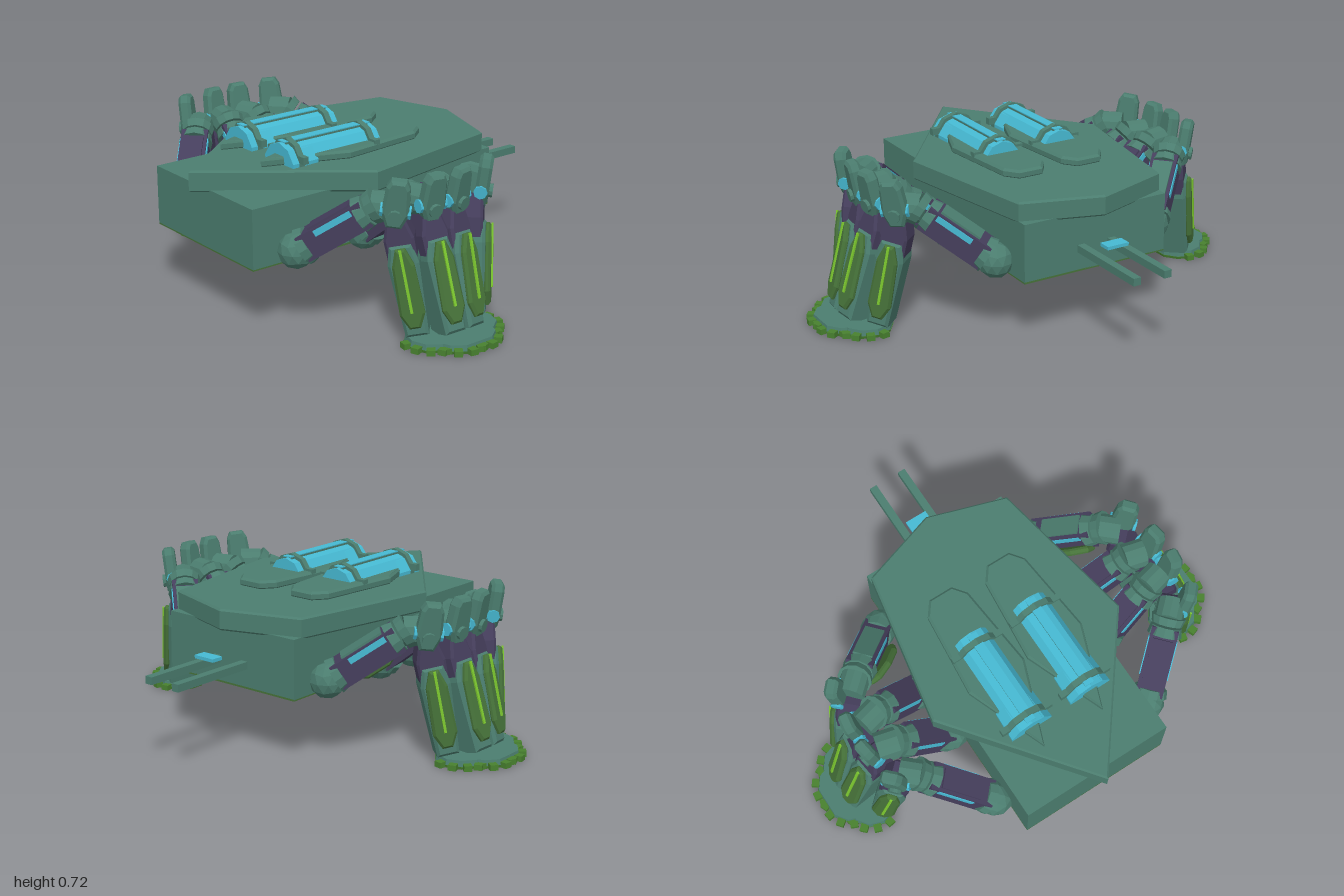
import * as THREE from 'three';

const mat = (name, color) => {
  const m = new THREE.MeshStandardMaterial({ color });
  m.name = name;
  return m;
};
const teal = mat('teal armour', 0x4b7d6f);
const purple = mat('purple frame', 0x453e5c);
const blue = mat('blue glass', 0x46b9d2);
const green = mat('green plating', 0x467239);
const lime = mat('lime strip', 0x7cc82f);
const footGreen = mat('foot green', 0x48812f);

const V = (x, y, z) => new THREE.Vector3(x, y, z);

// Adds a faceted mesh to a parent
function add(parent, name, geo, material, x = 0, y = 0, z = 0) {
  const g = geo.index ? geo.toNonIndexed() : geo;
  g.computeVertexNormals();
  const m = new THREE.Mesh(g, material);
  m.name = name;
  m.position.set(x, y, z);
  parent.add(m);
  return m;
}

const box = (w, h, d) => new THREE.BoxGeometry(w, h, d);
const cyl = (r1, r2, h, n = 12) => new THREE.CylinderGeometry(r1, r2, h, n);

// Extruded outline, centred in depth, with a small chamfer
function slab(pts, depth, bevel = 0) {
  const geo = new THREE.ExtrudeGeometry(
    new THREE.Shape(pts.map(([x, y]) => new THREE.Vector2(x, y))),
    { depth: depth - 2 * bevel, bevelEnabled: bevel > 0, bevelSize: bevel,
      bevelThickness: bevel, bevelOffset: -bevel, bevelSegments: 1 });
  return geo.translate(0, 0, -depth / 2 + bevel);
}

// Symmetric outline from its right half, listed bottom to top
const mirrored = half => [...half, ...half.filter(p => p[0] > 0).reverse().map(([x, y]) => [-x, y])];

// Horizontal slab from an outline in x and z
const floorSlab = (pts, h, bevel) => slab(pts, h, bevel).rotateX(Math.PI / 2);

// Group at a whose y axis runs to b and whose z axis leans towards out
function frame(parent, name, a, b, out) {
  const g = new THREE.Group();
  const y = b.clone().sub(a).normalize();
  const x = y.clone().cross(out).normalize();
  g.quaternion.setFromRotationMatrix(new THREE.Matrix4().makeBasis(x, y, x.clone().cross(y)));
  g.position.copy(a);
  g.name = name;
  parent.add(g);
  return g;
}

function buildHull(root) {
  add(root, 'hull', box(0.68, 0.25, 1.24), teal, 0, 0.415, 0.165);
  add(root, 'hullUnderside', box(0.68, 0.008, 1.24), green, 0, 0.288, 0.165);
  const deck = mirrored([[0, -0.52], [0.34, -0.41], [0.46, 0.26], [0, 0.85]]);
  add(root, 'deck', floorSlab(deck, 0.09, 0.008), teal, 0, 0.575, 0);

  // Twin canopies
  const rim = mirrored([[0, -0.18], [0.055, -0.18], [0.1, -0.12], [0.135, 0.25], [0, 0.6]]);
  for (const s of [-1, 1]) {
    const c = new THREE.Group();
    c.name = 'canopy';
    c.position.set(s * 0.142, 0.62, 0);
    root.add(c);
    add(c, 'canopyBase', floorSlab(rim, 0.04, 0.01), teal, 0, 0.015, 0);
    add(c, 'canopyGlass', cyl(0.085, 0.085, 0.46, 10).rotateX(Math.PI / 2), blue, 0, 0, 0.28);
    add(c, 'canopyNose', cyl(0.1, 0.094, 0.13, 10).rotateX(Math.PI / 2), blue, 0, -0.015, 0.445);
    for (const z of [0.1, 0.465])
      add(c, 'canopyRing', cyl(0.1, 0.1, 0.026, 10).rotateX(Math.PI / 2), teal, 0, 0, z);
    for (const z of [0.1, 0.465]) add(c, 'ringClamp', box(0.24, 0.03, 0.026), teal, 0, 0.03, z);
    add(c, 'canopyRidge', box(0.04, 0.012, 0.42), teal, 0, 0.081, 0.28).visible = true;
    add(c, 'canopyRidgeGlass', box(0.042, 0.004, 0.44), blue, 0, 0.089, 0.28);
  }

  // Rear rails with a small glowing sensor
  for (const s of [-1, 1])
    add(root, 'rearRail', box(0.034, 0.032, 0.41), teal, s * 0.073, 0.385, -0.65);
  add(root, 'rearSensor', box(0.1, 0.014, 0.055), blue, 0, 0.433, -0.588);
}

// Hip, knee and foot positions of the four legs on one side
const LEGS = [
  { hip: [0.385, 0.345, 0.61], knee: [0.62, 0.55, 0.4], top: [0.675, 0.52, 0.35], foot: [0.75, 0.04, 0.29], yaw: 0.75 },
  { hip: [0.385, 0.345, 0.27], knee: [0.63, 0.55, 0.23], top: [0.69, 0.52, 0.215], foot: [0.83, 0.04, 0.2], yaw: 0.15 },
  { hip: [0.385, 0.345, 0.04], knee: [0.63, 0.55, 0.08], top: [0.69, 0.52, 0.095], foot: [0.83, 0.04, 0.11], yaw: -0.15 },
  { hip: [0.385, 0.345, -0.3], knee: [0.62, 0.55, -0.09], top: [0.675, 0.52, -0.04], foot: [0.75, 0.04, 0.02], yaw: -0.75, rear: true },
];

function buildLeg(root, s, L) {
  const P = ([x, y, z]) => V(s * x, y, z);
  const hip = P(L.hip), knee = P(L.knee), top = P(L.top), foot = P(L.foot);
  const out = V(s * Math.cos(L.yaw), 0, Math.sin(L.yaw));
  const leg = new THREE.Group();
  leg.name = 'leg';
  root.add(leg);

  // Thigh
  const t = frame(leg, 'thigh', hip, knee, V(0, 1, 0));
  const len = hip.distanceTo(knee);
  add(t, 'hipBall', new THREE.IcosahedronGeometry(0.075, 1), teal);
  add(t, 'hipRing', cyl(0.07, 0.078, 0.035), teal, 0, 0.05, 0);
  add(t, 'thighFrame', box(0.115, len - 0.08, 0.11), purple, 0, len / 2, 0);
  add(t, 'thighCap', box(0.085, len * 0.5, 0.012), L.rear ? teal : purple, 0, len * 0.52, 0.058);
  for (const k of [-1, 1])
    add(t, 'thighLight', box(0.008, len * 0.45, 0.025), blue, k * 0.058, len * 0.55, 0.035);
  add(t, 'thighCollar', cyl(0.066, 0.074, 0.04), teal, 0, len - 0.055, 0);
  add(t, 'kneeRing', cyl(0.074, 0.066, 0.035), teal, 0, len - 0.008, 0);
  if (L.rear) {
    const shield = mirrored([[0, 0.06], [0.03, 0.06], [0.065, 0.12], [0.065, 0.22], [0.03, 0.29], [0, 0.29]]);
    const p = add(t, 'thighShield', slab(shield, 0.03, 0.008), green, s * 0.07, 0.02, -0.04);
    p.rotation.y = s * 2.2;
  }

  // Knee barrel
  const k = frame(leg, 'kneeJoint', knee, top.clone().add(V(0, 0.03, 0)), V(0, 1, 0));
  add(k, 'kneeBarrel', cyl(0.062, 0.062, 0.09), teal, 0, 0.03, 0);

  // Shin, tapering from a purple neck to armoured sides
  const f = frame(leg, 'shin', foot, top, out);
  const shin = mirrored([[0, 0], [0.046, 0], [0.062, 0.3], [0.045, 0.38], [0, 0.38]]);
  add(f, 'shinArmour', slab(shin, 0.13, 0.012), teal);
  const neck = mirrored([[0, 0.3], [0.057, 0.3], [0.06, 0.4], [0.035, 0.49], [0, 0.49]]);
  add(f, 'shinNeck', slab(neck, 0.11, 0.01), purple);
  const plate = mirrored([[0, 0.04], [0.022, 0.04], [0.05, 0.1], [0.044, 0.3], [0.02, 0.37], [0, 0.37]]);
  add(f, 'shinPlate', slab(plate, 0.03, 0.01), green, 0, 0, 0.072);
  add(f, 'shinStrip', box(0.011, 0.26, 0.008), lime, 0, 0.24, 0.09);

  // Knee guard with pivot cap
  const g = frame(leg, 'kneeGuard', top, top.clone().add(V(s * 0.03, 0.17, 0)), out);
  const fin = mirrored([[0, -0.03], [0.03, -0.03], [0.054, 0.03], [0.046, 0.14], [0.03, 0.17], [0, 0.17]]);
  add(g, 'guardFin', slab(fin, 0.055, 0.012), teal, 0, 0, 0.045);
  add(g, 'pivotCap', cyl(0.028, 0.028, 0.03, 10).rotateX(Math.PI / 2), teal, 0, 0.025, 0.072);
  for (const e of [-1, 1])
    add(g, 'pivotLight', cyl(0.028, 0.028, 0.012, 8).rotateZ(Math.PI / 2), blue, e * 0.054, 0.035, 0.04);

  // Foot pad with toes around the outer edge
  const pad = new THREE.Group();
  pad.name = 'foot';
  pad.position.set(s * (Math.abs(L.yaw) > 0.5 ? 0.8 : 0.865), 0, 0.16 + (L.foot[2] - 0.155) * 0.75);
  root.add(pad);
  add(pad, 'footPad', cyl(0.105, 0.11, 0.024, 10), teal, 0, 0.024, 0);
  add(pad, 'footSole', cyl(0.112, 0.108, 0.012, 10), footGreen, 0, 0.006, 0);
  for (let i = -2; i <= 2; i++) {
    const a = L.yaw + i * 0.5;
    const toe = add(pad, 'toe', box(0.05, 0.024, 0.034), footGreen, s * Math.cos(a) * 0.11, 0.013, Math.sin(a) * 0.11);
    toe.rotation.y = -s * a;
  }
}

export function createModel() {
  const root = new THREE.Group();
  root.name = 'walker';
  buildHull(root);
  for (const s of [-1, 1]) for (const L of LEGS) buildLeg(root, s, L);
  return root;
}
